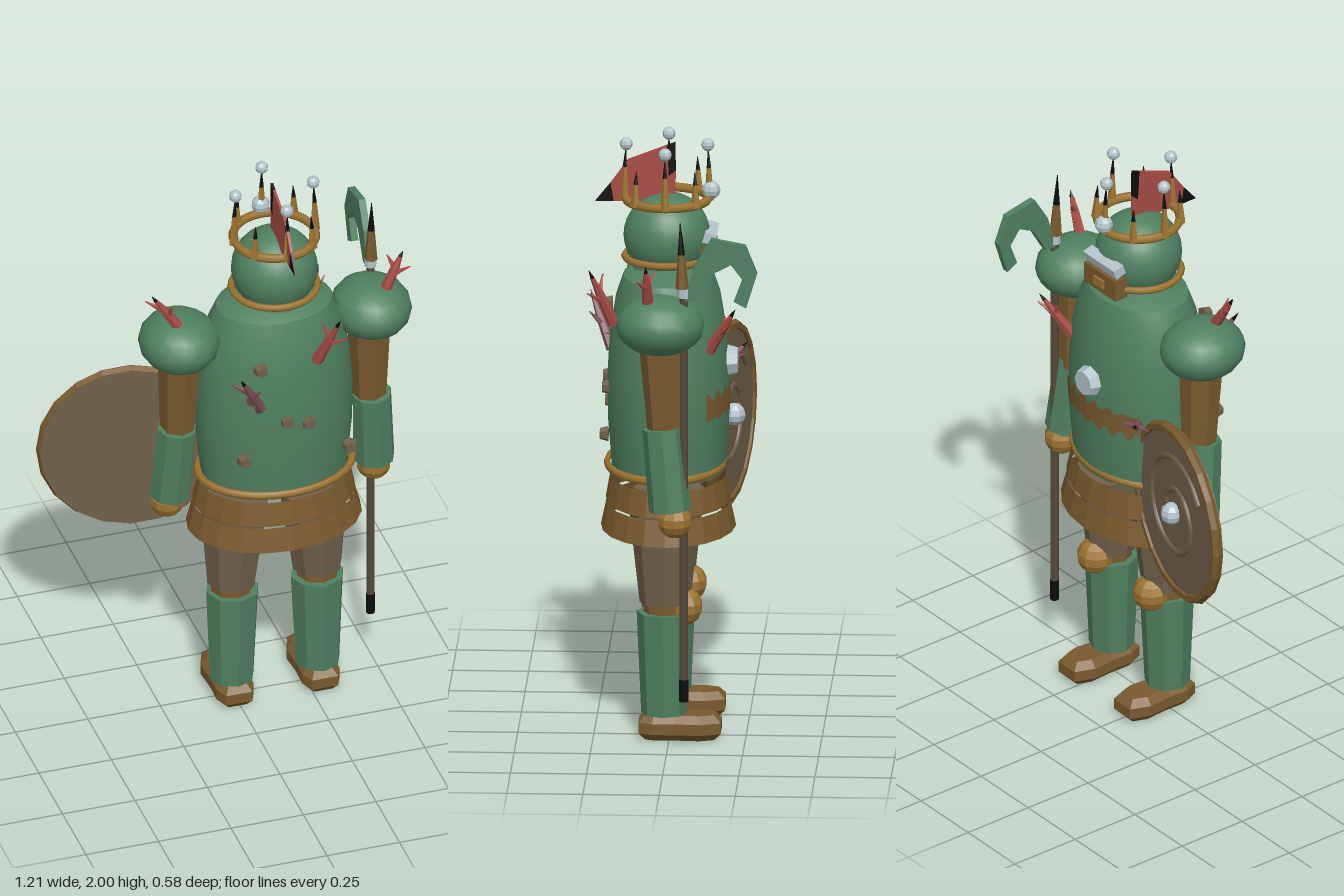
import * as THREE from 'three';
import { toCreasedNormals } from 'three/addons/utils/BufferGeometryUtils.js';

const CX = 0.138, CZ = 0.01; // body axis

export function createModel() {
  const root = new THREE.Group();
  root.name = 'armouredFigure';
  const mat = (name, color, side = THREE.FrontSide) => {
    const m = new THREE.MeshStandardMaterial({ color, side });
    m.name = name;
    return m;
  };
  const green = mat('armourGreen', 0x4f8060);
  const gold = mat('gold', 0x9c7430);
  const leather = mat('leatherBrown', 0x7a5a2e, THREE.DoubleSide);
  const tan = mat('dullBrown', 0x70604a);
  const red = mat('coralRed', 0xa84c44, THREE.DoubleSide);
  const plum = mat('coralPlum', 0x80525a);
  const silver = mat('silver', 0xb4c4cc);
  const black = mat('black', 0x0c0c0c, THREE.DoubleSide);
  const wood = mat('darkWood', 0x55483a);

  const V = (x, y, z) => new THREE.Vector3(x, y, z);
  const flat = (g) => {
    const f = g.index ? g.toNonIndexed() : g;
    f.computeVertexNormals();
    return f;
  };
  const add = (name, geo, material, x = 0, y = 0, z = 0, parent = root) => {
    const m = new THREE.Mesh(geo, material);
    m.name = name;
    m.position.set(x, y, z);
    parent.add(m);
    return m;
  };
  // Tapered faceted rod from a to b
  const rod = (name, a, b, ra, rb, material, sides = 8, parent = root) => {
    const d = b.clone().sub(a);
    const g = flat(new THREE.CylinderGeometry(rb, ra, d.length(), sides));
    const m = add(name, g, material, 0, 0, 0, parent);
    m.position.copy(a).add(b).multiplyScalar(0.5);
    m.quaternion.setFromUnitVectors(V(0, 1, 0), d.normalize());
    return m;
  };
  const ball = (name, r, material, x, y, z, w = 10, h = 7) =>
    add(name, flat(new THREE.SphereGeometry(r, w, h)), material, x, y, z);
  const ring = (name, r, tube, y, z, sz) => {
    const g = new THREE.TorusGeometry(r, tube, 6, 28).rotateX(Math.PI / 2).scale(1, 1, sz);
    return add(name, g, gold, CX, y, z);
  };
  const lathe = (pts, seg, sz, ...arc) =>
    new THREE.LatheGeometry(pts.map((p) => new THREE.Vector2(...p)), seg, ...arc).scale(1, 1, sz);

  // Breastplate, belt and skirt bands
  const torso = lathe([[0, 0.87], [0.245, 0.88], [0.262, 1.05], [0.264, 1.2], [0.252, 1.35],
    [0.226, 1.47], [0.195, 1.54], [0.12, 1.57], [0, 1.575]], 28, 0.76);
  add('breastplate', toCreasedNormals(torso, 0.7), green, CX, 0, CZ);
  ring('belt', 0.26, 0.014, 0.9, 0.02, 0.74);
  [[0.255, 0.862, 0.275, 0.778], [0.272, 0.77, 0.296, 0.685]].forEach(([rt, yt, rb, yb], i) => {
    const g = new THREE.CylinderGeometry(rt, rb, yt - yb, 20, 1, true).scale(1, 1, 0.75);
    add('skirtBand' + (i + 1), flat(g), leather, CX, (yt + yb) / 2, CZ);
  });

  // Worn strip painted across the back
  const patch = lathe([[0.2655, 1.09], [0.2675, 1.17]], 26, 0.76, Math.PI - 0.85, 1.65);
  const pp = patch.attributes.position;
  for (let i = 0; i < pp.count; i++) {
    pp.setY(i, pp.getY(i) + 0.012 * Math.sin(i * 2.3) + 0.008 * Math.sin(i * 0.9));
  }
  add('backStrip', patch, leather, CX, 0, CZ);
  add('backMedallion', flat(new THREE.CylinderGeometry(0.044, 0.054, 0.035, 8).rotateX(-Math.PI / 2)),
    silver, CX, 1.245, -0.2);

  // Studs on the chest
  [[0.03, 1.405], [-0.028, 1.06], [0.12, 1.185], [0.193, 1.165], [0.336, 1.045], [0.005, 1.29]]
    .forEach(([x, y]) => add('chestStud',
      flat(new THREE.CylinderGeometry(0.019, 0.026, 0.028, 6).rotateX(Math.PI / 2)), tan, x, y, 0.212));

  // Helmet, face guard and visor
  add('helmet', new THREE.SphereGeometry(0.143, 24, 16), green, CX, 1.67, 0.015);
  add('neck', new THREE.CylinderGeometry(0.1, 0.115, 0.07, 20), green, CX, 1.57, 0.015);
  ring('helmetRing', 0.142, 0.012, 1.6, 0.015, 0.98);
  add('faceGuard', new THREE.BoxGeometry(0.165, 0.075, 0.05), leather, CX, 1.61, -0.122);
  add('faceGuardStud', new THREE.BoxGeometry(0.05, 0.03, 0.01), gold, CX, 1.61, -0.15);
  add('visor', new THREE.BoxGeometry(0.165, 0.035, 0.04), silver, CX, 1.678, -0.128).rotation.x = -0.3;

  // Crown with tall balled points and short points between
  ring('crownBand', 0.136, 0.015, 1.795, 0.015, 1);
  for (let i = 0; i < 8; i++) {
    const a = (i * Math.PI) / 4, tall = i % 2 === 0, top = tall ? 1.965 : 1.91;
    const at = (r, y) => V(CX + r * Math.sin(a), y, 0.015 + r * Math.cos(a));
    const mid = 1.8 + (top - 1.8) * 0.6;
    rod('crownPoint', at(0.14, 1.79), at(0.138, mid), 0.017, 0.008, gold, 5);
    rod('crownPointTip', at(0.138, mid), at(0.135, top), 0.008, 0.001, black, 5);
    if (tall) ball('crownPearl', 0.022, silver, ...at(0.134, 1.978).toArray(), 8, 6);
  }
  ball('crownGem', 0.031, silver, CX, 1.825, -0.13, 8, 6);

  // Crest fin with dark tips; outlines are (z, y)
  const plate = (name, pts, depth, material, x) => {
    const s = new THREE.Shape(pts.map(([z, y]) => new THREE.Vector2(-z, y)));
    const g = new THREE.ExtrudeGeometry(s, { depth, bevelEnabled: false });
    return add(name, g.translate(0, 0, -depth / 2).rotateY(Math.PI / 2), material, x);
  };
  plate('crest', [[0.19, 1.783], [0.2, 1.845], [0.143, 1.925], [0.015, 1.975], [0.005, 1.79]], 0.009, red, CX);
  plate('crestFrontTip', [[0.25, 1.783], [0.2, 1.845], [0.19, 1.783]], 0.009, black, CX);
  plate('crestTopTip', [[0.015, 1.975], [-0.012, 1.985], [-0.014, 1.89], [0.009, 1.87]], 0.009, black, CX);
  plate('crestRear', [[0.009, 1.87], [-0.014, 1.89], [-0.012, 1.8], [0.005, 1.79]], 0.009, red, CX);

  // Arms and legs, mirrored about the body axis
  for (const s of [-1, 1]) {
    const side = new THREE.Group();
    side.name = s > 0 ? 'leftLimbs' : 'rightLimbs';
    root.add(side);
    const P = (dx, y, z) => V(CX + s * dx, y, z);
    const limb = (name, a, b, ra, rb, m, n) => rod(name, a, b, ra, rb, m, n, side);
    const pauldron = add('pauldron', new THREE.SphereGeometry(1, 18, 10), green,
      CX + s * 0.331, 1.452, 0.022, side);
    pauldron.scale.set(0.134, 0.1, 0.146);
    limb('upperArm', P(0.332, 1.08, 0.005), P(0.326, 1.42, 0.02), 0.057, 0.075, leather, 7);
    limb('forearm', P(0.352, 0.83, -0.012), P(0.336, 1.105, 0.015), 0.07, 0.066, green, 8);
    ball('hand', 0.058, gold, CX + s * 0.356, 0.795, -0.027);

    limb('thigh', P(0.148, 0.46, 0.015), P(0.137, 0.77, 0.015), 0.083, 0.118, tan, 8);
    limb('shin', P(0.148, 0.085, 0.018), P(0.146, 0.43, 0.018), 0.075, 0.09, green, 8);
    limb('kneeJoint', P(0.148, 0.4, 0.015), P(0.148, 0.48, 0.015), 0.07, 0.07, leather, 8);
    ball('kneeCap', 0.063, gold, CX + s * 0.148, 0.447, -0.048);

    // Boot: plan outline raised with bevelled edges
    const plan = [[-0.03, 0.078], [0.03, 0.078], [0.042, 0.05], [0.04, -0.02], [0.046, -0.1],
      [0.028, -0.148], [-0.028, -0.148], [-0.046, -0.1], [-0.04, -0.02], [-0.042, 0.05]];
    const boot = new THREE.ExtrudeGeometry(new THREE.Shape(plan.map(([x, z]) => new THREE.Vector2(x, -z))),
      { depth: 0.037, bevelThickness: 0.024, bevelSize: 0.022, bevelSegments: 1 });
    add('boot', flat(boot.rotateX(-Math.PI / 2)), leather, CX + s * 0.148, 0.024, 0, side);
  }

  // Thorny coral growths: bent stem, forks and dark points
  const coral = (name, a, b, material, spread) => {
    const g = new THREE.Group();
    g.name = name;
    root.add(g);
    const mid = a.clone().lerp(b, 0.55), tip = a.clone().lerp(b, 0.86);
    rod('stem', a, mid, 0.02, 0.015, material, 6, g);
    rod('upperStem', mid, tip, 0.015, 0.007, material, 6, g);
    rod('stemPoint', tip, b, 0.007, 0.001, black, 5, g);
    for (const k of [-1, 1]) {
      const from = a.clone().lerp(b, k > 0 ? 0.4 : 0.55);
      const end = from.clone().addScaledVector(spread, k).addScaledVector(b.clone().sub(a), 0.28);
      rod('fork', from, end, 0.012, 0.002, material, 5, g);
    }
  };
  coral('rightShoulderCoral', V(-0.205, 1.53, 0.06), V(-0.3, 1.675, 0.065), red, V(0.03, 0.01, 0.03));
  coral('leftShoulderCoral', V(0.505, 1.53, 0.06), V(0.565, 1.675, 0.065), red, V(0.035, 0, 0.03));
  coral('chestCoral', V(0.23, 1.39, 0.185), V(0.285, 1.585, 0.265), red, V(0.04, -0.01, 0.03));
  coral('ribCoral', V(0.03, 1.25, 0.2), V(-0.06, 1.425, 0.275), plum, V(0.04, 0, 0.025));
  coral('backCoral', V(0.3, 1.32, -0.13), V(0.365, 1.48, -0.22), red, V(0.04, 0.01, -0.02));
  coral('loinCoral', V(-0.04, 1.14, -0.13), V(-0.16, 1.225, -0.235), plum, V(0.035, 0.01, -0.03));

  // Polearm with a spike and a curved hook
  const SX = 0.493, SZ = -0.057;
  rod('poleShaft', V(SX, 0.25, SZ), V(SX, 1.58, SZ), 0.014, 0.014, wood);
  rod('poleFoot', V(SX, 0.18, SZ), V(SX, 0.255, SZ), 0.015, 0.015, black);
  rod('poleCollar', V(SX, 1.555, SZ), V(SX, 1.585, SZ), 0.02, 0.02, silver);
  rod('spikeBase', V(SX, 1.585, SZ + 0.005), V(SX, 1.7, SZ + 0.008), 0.022, 0.012, leather, 6);
  rod('spikePoint', V(SX, 1.7, SZ + 0.008), V(SX, 1.81, SZ + 0.012), 0.012, 0.001, black, 6);
  plate('hookBlade', [[-0.06, 1.545], [-0.095, 1.67], [-0.148, 1.757], [-0.26, 1.735], [-0.298, 1.64],
    [-0.262, 1.523], [-0.222, 1.545], [-0.25, 1.62], [-0.212, 1.67], [-0.155, 1.64], [-0.1, 1.545]],
  0.024, green, SX);

  // Round shield on the right arm: disc, rim, spiral ridge and boss
  const shield = new THREE.Group();
  shield.name = 'shield';
  shield.position.set(-0.3, 0.942, -0.158);
  shield.rotation.y = Math.PI - 0.218;
  root.add(shield);
  add('shieldDisc', flat(new THREE.CylinderGeometry(0.3, 0.3, 0.03, 20).rotateX(Math.PI / 2)),
    tan, 0, 0, 0, shield);
  add('shieldRim', flat(new THREE.TorusGeometry(0.294, 0.019, 6, 20)), leather, 0, 0, 0.006, shield);
  const spiral = new THREE.CatmullRomCurve3(Array.from({ length: 25 }, (_, i) => {
    const a = 0.6 + i * 0.36, r = 0.22 - 0.0065 * i;
    return V(r * Math.cos(a), r * Math.sin(a), 0.014);
  }));
  add('shieldSpiral', new THREE.TubeGeometry(spiral, 72, 0.012, 5), tan, 0, 0, 0, shield);
  add('shieldBoss', flat(new THREE.SphereGeometry(0.038, 8, 6)), silver, 0, 0, 0.028, shield);

  return root;
}
